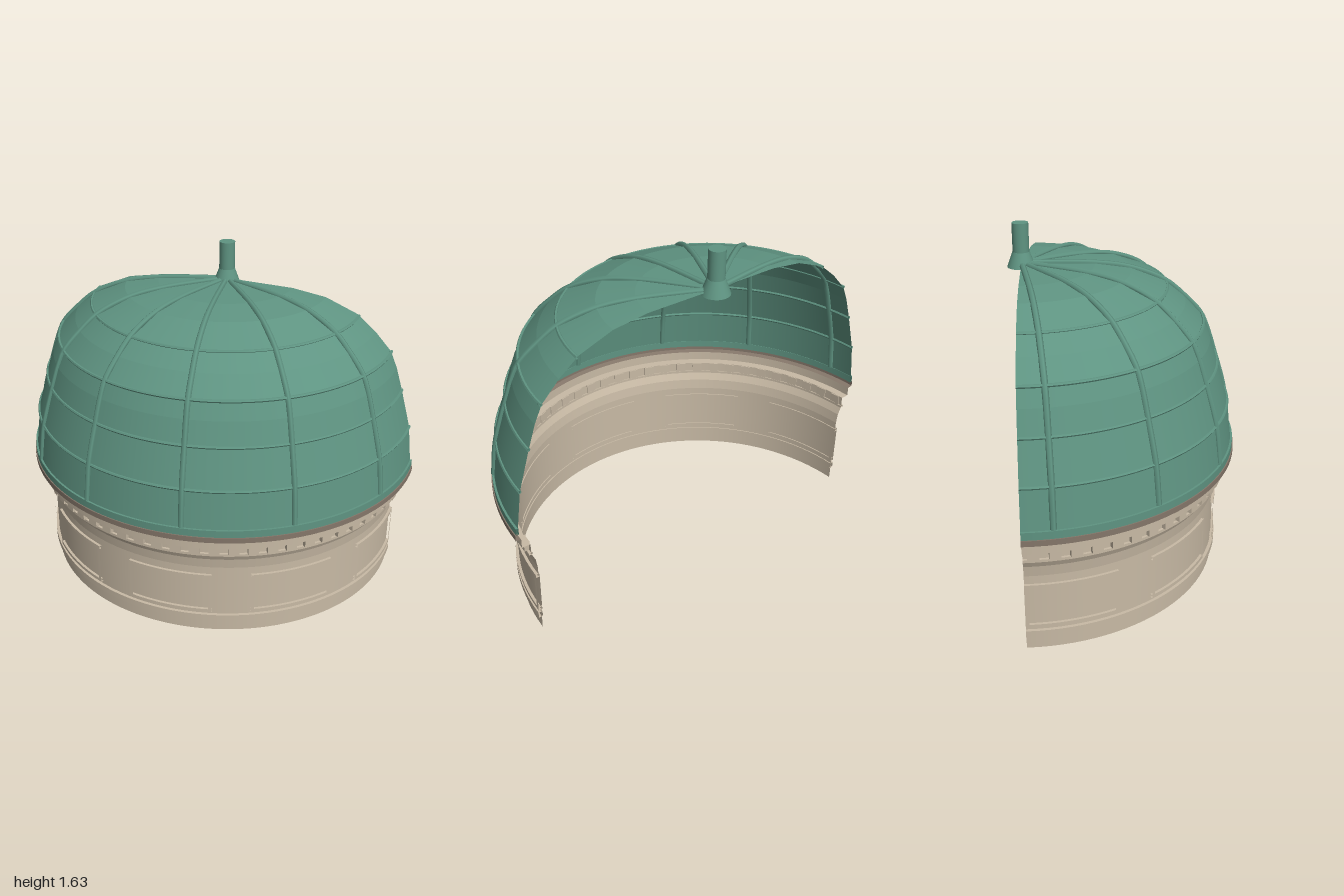
import * as THREE from 'three';
import { mergeGeometries } from 'three/addons/utils/BufferGeometryUtils.js';

const AXIS_Z = -0.465;                       // dome axis, near the open back
const HALF = THREE.MathUtils.degToRad(87.2); // half sweep of the shell
const rad = THREE.MathUtils.degToRad;

const copper = new THREE.MeshStandardMaterial({ color: 0x5f9482, side: THREE.DoubleSide });
copper.name = 'green copper';
const stone = new THREE.MeshStandardMaterial({ color: 0xc8baa5, side: THREE.DoubleSide });
stone.name = 'pale stone';
const trim = new THREE.MeshStandardMaterial({ color: 0x85776a, side: THREE.DoubleSide });
trim.name = 'brown trim';

// Sweeps a profile of [radius, y] about the axis, keeping a crease at each point.
function sweep(profile, centre = 0, half = HALF) {
  const segments = Math.max(1, Math.round(half * 36));
  const parts = [];
  for (let i = 0; i + 1 < profile.length; i++) {
    const pair = [profile[i], profile[i + 1]].map(([r, y]) => new THREE.Vector2(r, y));
    parts.push(new THREE.LatheGeometry(pair, segments, centre - half, half * 2));
  }
  return mergeGeometries(parts);
}

// Closed rectangular section for mouldings.
const rect = (r0, r1, y0, y1) => [[r0, y0], [r1, y0], [r1, y1], [r0, y1], [r0, y0]];

// Closed round section for thin seams.
function bead(r, y, size) {
  return Array.from({ length: 7 }, (_, i) => {
    const a = i * Math.PI / 3;
    return [r + Math.cos(a) * size, y + Math.sin(a) * size];
  });
}

export function createModel() {
  const model = new THREE.Group();
  model.name = 'halfDome';
  const shell = new THREE.Group();
  shell.name = 'shell';
  shell.position.z = AXIS_Z;
  model.add(shell);
  const add = (name, geometry, material) => {
    const mesh = new THREE.Mesh(geometry, material);
    mesh.name = name;
    shell.add(mesh);
    return mesh;
  };

  // Drum wall flaring into the cornice
  add('drumWall', sweep([
    [0.905, 0], [0.905, 0.36], [0.912, 0.41], [0.93, 0.45], [0.93, 0.507],
    [0.97, 0.507], [0.97, 0.552],
  ]), stone);
  add('baseMoulding', sweep(rect(0.9, 0.92, 0.065, 0.095)), stone);
  add('dentilLedge', sweep(rect(0.925, 0.942, 0.448, 0.46)), stone);
  add('corniceEdge', sweep([[0.97, 0.552], [0.995, 0.557], [0.995, 0.583], [0.98, 0.583]]), trim);

  // Dentils under the cornice
  const dentils = [];
  const count = 32;
  for (let i = 0; i < count; i++) {
    const a = -HALF + (i + 0.5) * 2 * HALF / count;
    const block = new THREE.BoxGeometry(0.05, 0.045, 0.026);
    block.translate(0, 0.483, 0.938);
    block.rotateY(a);
    dentils.push(block);
  }
  add('dentils', mergeGeometries(dentils), stone);

  // Raised panel frames around the drum
  const frames = [];
  for (const deg of [-74.3, -37.4, 0, 37.4, 74.3]) {
    const c = rad(deg), h = rad(12.9), w = rad(0.5);
    for (const y of [0.11, 0.306]) frames.push(sweep(rect(0.9, 0.918, y, y + 0.016), c, h));
    for (const s of [-1, 1]) frames.push(sweep(rect(0.9, 0.918, 0.11, 0.322), c + s * (h - w), w));
  }
  add('panelFrames', mergeGeometries(frames), stone);

  // Dome skin
  const dome = [
    [0.985, 0.583], [0.98, 0.62], [0.957, 0.8], [0.903, 0.99], [0.868, 1.1],
    [0.833, 1.18], [0.75, 1.27], [0.66, 1.345], [0.5, 1.41], [0.335, 1.435], [0.001, 1.445],
  ];
  add('domeSkin', sweep(dome), copper);
  add('domeBaseBand', sweep(rect(0.978, 0.99, 0.583, 0.618)), copper);

  // Horizontal seams
  const seams = [[0.957, 0.8], [0.903, 0.99], [0.835, 1.18], [0.666, 1.338]];
  add('domeSeams', mergeGeometries(seams.map(([r, y]) => sweep(bead(r, y, 0.008)))), copper);

  // Ribs rising to the crown
  const ribs = [-79.5, -51.9, -24.2, 5, 35, 64.4].map((deg) => {
    const a = rad(deg);
    const points = dome.slice(1).map(([r, y]) =>
      new THREE.Vector3(Math.sin(a) * r, y, Math.cos(a) * r));
    return new THREE.TubeGeometry(new THREE.CatmullRomCurve3(points), 40, 0.014, 6);
  });
  add('domeRibs', mergeGeometries(ribs), copper);

  // Finial at the crown
  const cone = new THREE.CylinderGeometry(0.039, 0.065, 0.07, 20);
  add('finialFoot', cone, copper).position.y = 1.462;
  const post = new THREE.CylinderGeometry(0.038, 0.038, 0.14, 20);
  add('finialPost', post, copper).position.y = 1.56;

  return model;
}
